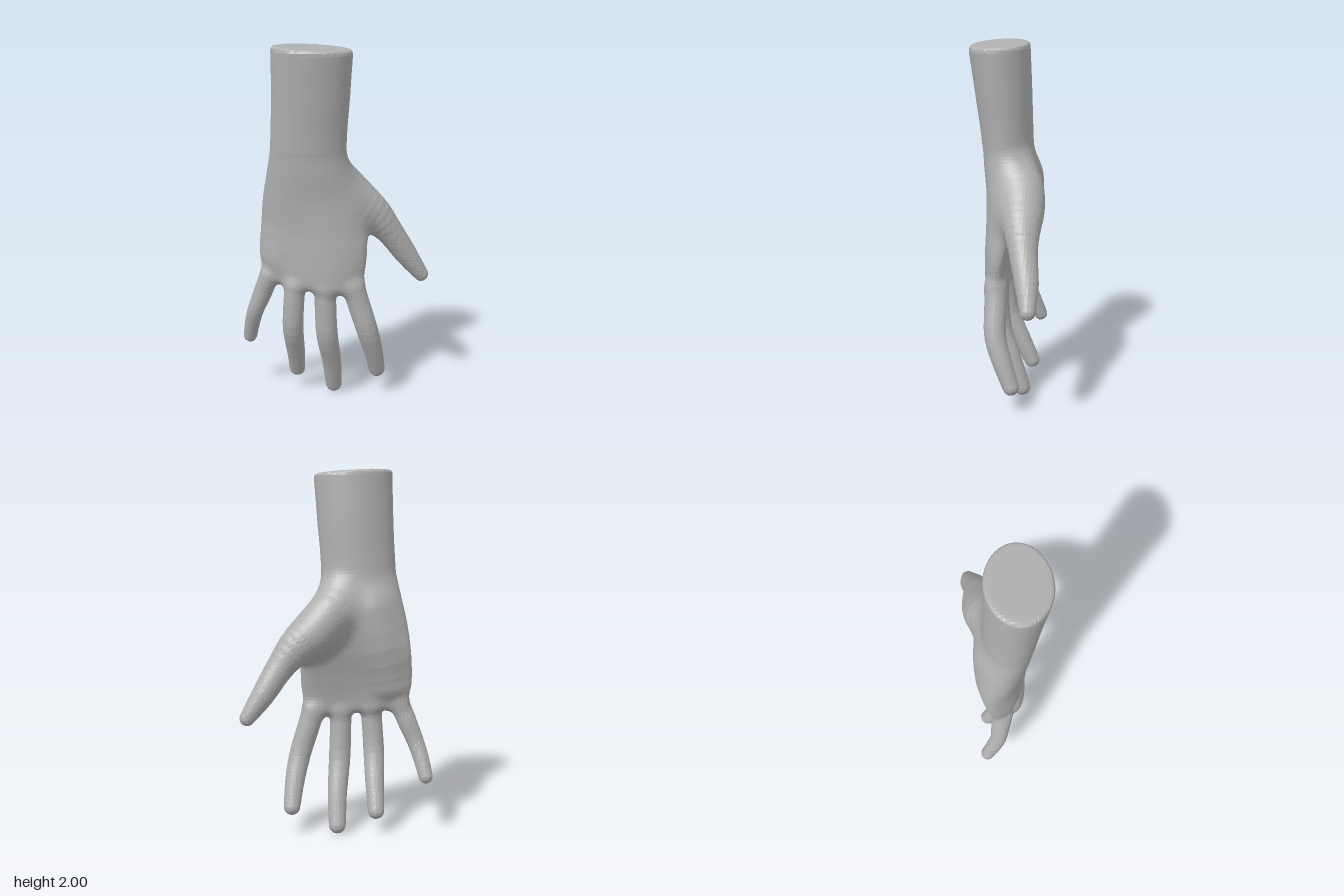
import * as THREE from 'three';

// Smooth interpolation through rows of numbers, t in 0..1
function sample(keys, t) {
  const f = t * (keys.length - 1);
  const i = Math.min(Math.floor(f), keys.length - 2);
  const u = f - i;
  const row = (k) => keys[Math.max(0, Math.min(keys.length - 1, k))];
  return keys[0].map((_, c) => {
    const a = row(i - 1)[c], b = row(i)[c], d = row(i + 1)[c], e = row(i + 2)[c];
    const m0 = (d - a) / 2, m1 = (e - b) / 2;
    return b + m0 * u + (3 * (d - b) - 2 * m0 - m1) * u * u + (2 * (b - d) + m0 + m1) * u ** 3;
  });
}

// Blended minimum and maximum of two distances
function blendMin(a, b, k) {
  const h = Math.max(k - Math.abs(a - b), 0) / k;
  return Math.min(a, b) - h * h * k / 4;
}
const blendMax = (a, b, k) => -blendMin(-a, -b, k);

// Forearm and palm sections: y, centre x, half width, centre z, half depth, tilt, bow
const ARM = [
  [2.05, -0.112, 0.217, 0.069, 0.168, 0, 0],
  [1.75, -0.122, 0.209, 0.045, 0.155, 0, 0],
  [1.45, -0.138, 0.206, 0.022, 0.141, 0, 0],
  [1.32, -0.14, 0.227, 0.008, 0.14, 0.01, 0.01],
  [1.18, -0.13, 0.262, 0.002, 0.127, 0.02, 0.03],
  [1.02, -0.115, 0.292, 0.015, 0.107, 0.04, 0.06],
  [0.87, -0.117, 0.299, 0.038, 0.085, 0.05, 0.06],
  [0.73, -0.115, 0.278, 0.055, 0.068, 0.05, 0.06],
  [0.6, -0.1, 0.23, 0.057, 0.056, 0.045, 0.05]
];

function armDistance(x, y, z) {
  const yy = THREE.MathUtils.clamp(y, 0.6, 2.05);
  let i = 0;
  while (i < ARM.length - 2 && yy < ARM[i + 1][0]) i++;
  const local = (ARM[i][0] - yy) / (ARM[i][0] - ARM[i + 1][0]);
  const [, cx, a, cz, b, tilt, bow] = sample(ARM, (i + local) / (ARM.length - 1));
  const p = 2 + 0.3 * THREE.MathUtils.smoothstep(1.45 - yy, 0, 0.4); // palm is squarer than the wrist
  const u = (x - cx) / a;
  const w = Math.abs((z - cz - tilt * u + bow * u * u) / b);
  const v = Math.abs(u);
  const length = Math.max((v ** p + w ** p) ** (1 / p), 1e-4);
  const slope = length ** (1 - p) * Math.hypot(v ** (p - 1) / a, w ** (p - 1) / b);
  const side = (length - 1) / Math.max(slope, 1e-4);
  const knuckleLine = 0.66 - 0.1 * (x + 0.1) - y;
  return blendMax(side, knuckleLine, 0.05);
}

// Rounded limb through keys of x, y, z, radius
function limb(name, blend, keys) {
  const steps = (keys.length - 1) * 3;
  const points = Array.from({ length: steps + 1 }, (_, i) => sample(keys, i / steps));
  const distance = (x, y, z) => {
    let best = Infinity;
    for (let i = 0; i < steps; i++) {
      const [ax, ay, az, ar] = points[i], [bx, by, bz, br] = points[i + 1];
      const dx = bx - ax, dy = by - ay, dz = bz - az;
      const along = ((x - ax) * dx + (y - ay) * dy + (z - az) * dz) / (dx * dx + dy * dy + dz * dz);
      const t = Math.max(0, Math.min(1, along));
      const gap = Math.hypot(x - ax - dx * t, y - ay - dy * t, z - az - dz * t);
      best = Math.min(best, gap - ar - (br - ar) * t);
    }
    return best;
  };
  return { name, blend, distance };
}

const palm = { name: 'forearmAndPalm', blend: 0.01, distance: armDistance };
const palmHeel = limb('palmHeel', 0.09, [
  [-0.19, 1.24, -0.05, 0.11], [-0.245, 1.05, -0.06, 0.1], [-0.3, 0.84, -0.04, 0.07]
]);
const thumb = limb('thumb', 0.09, [
  [-0.03, 1.32, -0.045, 0.085], [0.035, 1.24, -0.08, 0.115], [0.12, 1.14, -0.09, 0.123],
  [0.22, 1.06, -0.105, 0.1], [0.31, 0.955, -0.124, 0.076], [0.405, 0.815, -0.155, 0.063],
  [0.492, 0.694, -0.172, 0.042]
]);
const indexFinger = limb('indexFinger', 0.04, [
  [0.11, 0.68, 0.052, 0.063], [0.14, 0.58, 0.05, 0.062], [0.187, 0.43, 0.045, 0.06],
  [0.222, 0.29, 0, 0.054], [0.244, 0.16, -0.05, 0.046]
]);
const middleFinger = limb('middleFinger', 0.04, [
  [-0.047, 0.67, 0.062, 0.06], [-0.045, 0.55, 0.06, 0.06], [-0.037, 0.39, 0.045, 0.06],
  [-0.015, 0.22, -0.02, 0.054], [-0.005, 0.052, -0.08, 0.047]
]);
const ringFinger = limb('ringFinger', 0.04, [
  [-0.216, 0.68, 0.047, 0.058], [-0.225, 0.56, 0.045, 0.058], [-0.23, 0.42, 0.025, 0.058],
  [-0.222, 0.27, -0.045, 0.052], [-0.218, 0.132, -0.11, 0.045]
]);
const littleFinger = limb('littleFinger', 0.04, [
  [-0.365, 0.72, -0.025, 0.055], [-0.408, 0.61, -0.045, 0.053], [-0.448, 0.51, -0.06, 0.047],
  [-0.474, 0.42, -0.092, 0.044], [-0.493, 0.322, -0.13, 0.039]
]);
const PARTS = [palm, palmHeel, thumb, indexFinger, middleFinger, ringFinger, littleFinger];

// Slanted cut across the forearm, and the whole skin
const cutDistance = (x, y, z) => y - 1.99 + 0.05 * (x + 0.11) + 0.05 * (z - 0.06);
function skinDistance(x, y, z) {
  const body = PARTS.reduce((d, part) => blendMin(d, part.distance(x, y, z), part.blend), 10);
  return blendMax(body, cutDistance(x, y, z), 0.025);
}

// The part that a point of the skin belongs to
function partAt(x, y, z) {
  if (cutDistance(x, y, z) > -0.012) return 'cutEnd';
  const gaps = PARTS.map((part) => part.distance(x, y, z));
  return PARTS[gaps.indexOf(Math.min(...gaps))].name;
}

// Slide a point onto the skin
function settle(p) {
  const e = 0.002;
  for (let n = 0; n < 2; n++) {
    const d = skinDistance(p.x, p.y, p.z);
    const slope = new THREE.Vector3(
      skinDistance(p.x + e, p.y, p.z) - skinDistance(p.x - e, p.y, p.z),
      skinDistance(p.x, p.y + e, p.z) - skinDistance(p.x, p.y - e, p.z),
      skinDistance(p.x, p.y, p.z + e) - skinDistance(p.x, p.y, p.z - e)
    ).divideScalar(2 * e);
    p.addScaledVector(slope, -d / Math.max(slope.lengthSq(), 0.2));
  }
  return p;
}

// Wrap a grid of cells around the skin; returns triangle corners by part name
function wrapSkin() {
  const step = 0.018, low = [-0.58, -0.04, -0.29], size = [64, 116, 33];
  const id = (c) => (c[0] * size[1] + c[1]) * size[2] + c[2];
  const place = (c) => c.map((v, a) => low[a] + v * step);
  const shift = (c, a, by) => c.map((v, i) => (i === a ? v + by : v));
  const values = new Float32Array(size[0] * size[1] * size[2]);
  const cells = [];
  for (let i = 0; i < size[0]; i++)
    for (let j = 0; j < size[1]; j++)
      for (let k = 0; k < size[2]; k++) {
        values[id([i, j, k])] = skinDistance(...place([i, j, k]));
        if (i < size[0] - 1 && j < size[1] - 1 && k < size[2] - 1) cells.push([i, j, k]);
      }

  // Grid edges that cross the skin, and the mean crossing of each cell
  const crossings = [];
  const sums = new Map();
  for (const cell of cells) {
    for (let a = 0; a < 3; a++) {
      const v0 = values[id(cell)], v1 = values[id(shift(cell, a, 1))];
      if (v0 < 0 === v1 < 0) continue;
      const b = (a + 1) % 3, c = (a + 2) % 3;
      const back = shift(cell, c, -1);
      const around = [shift(back, b, -1), back, cell, shift(cell, b, -1)].map(id);
      const point = new THREE.Vector3(...place(shift(cell, a, v0 / (v0 - v1))));
      for (const key of around) {
        if (!sums.has(key)) sums.set(key, { total: new THREE.Vector3(), count: 0 });
        sums.get(key).total.add(point);
        sums.get(key).count++;
      }
      crossings.push(v0 < 0 ? around : around.reverse());
    }
  }
  const corners = new Map();
  for (const [key, { total, count }] of sums) corners.set(key, settle(total.divideScalar(count)));

  const faces = {};
  for (const around of crossings) {
    const [a, b, c, d] = around.map((key) => corners.get(key));
    const middle = a.clone().add(b).add(c).add(d).divideScalar(4);
    (faces[partAt(middle.x, middle.y, middle.z)] ??= []).push(a, b, c, a, c, d);
  }
  return faces;
}

export function createModel() {
  const grey = new THREE.MeshStandardMaterial({ color: 0xb0b0b0 });
  grey.name = 'grey skin';
  const hand = new THREE.Group();
  hand.name = 'hand';
  for (const [name, points] of Object.entries(wrapSkin())) {
    const geometry = new THREE.BufferGeometry().setFromPoints(points);
    geometry.computeVertexNormals();
    const mesh = new THREE.Mesh(geometry, grey);
    mesh.name = name;
    hand.add(mesh);
  }
  return hand;
}
